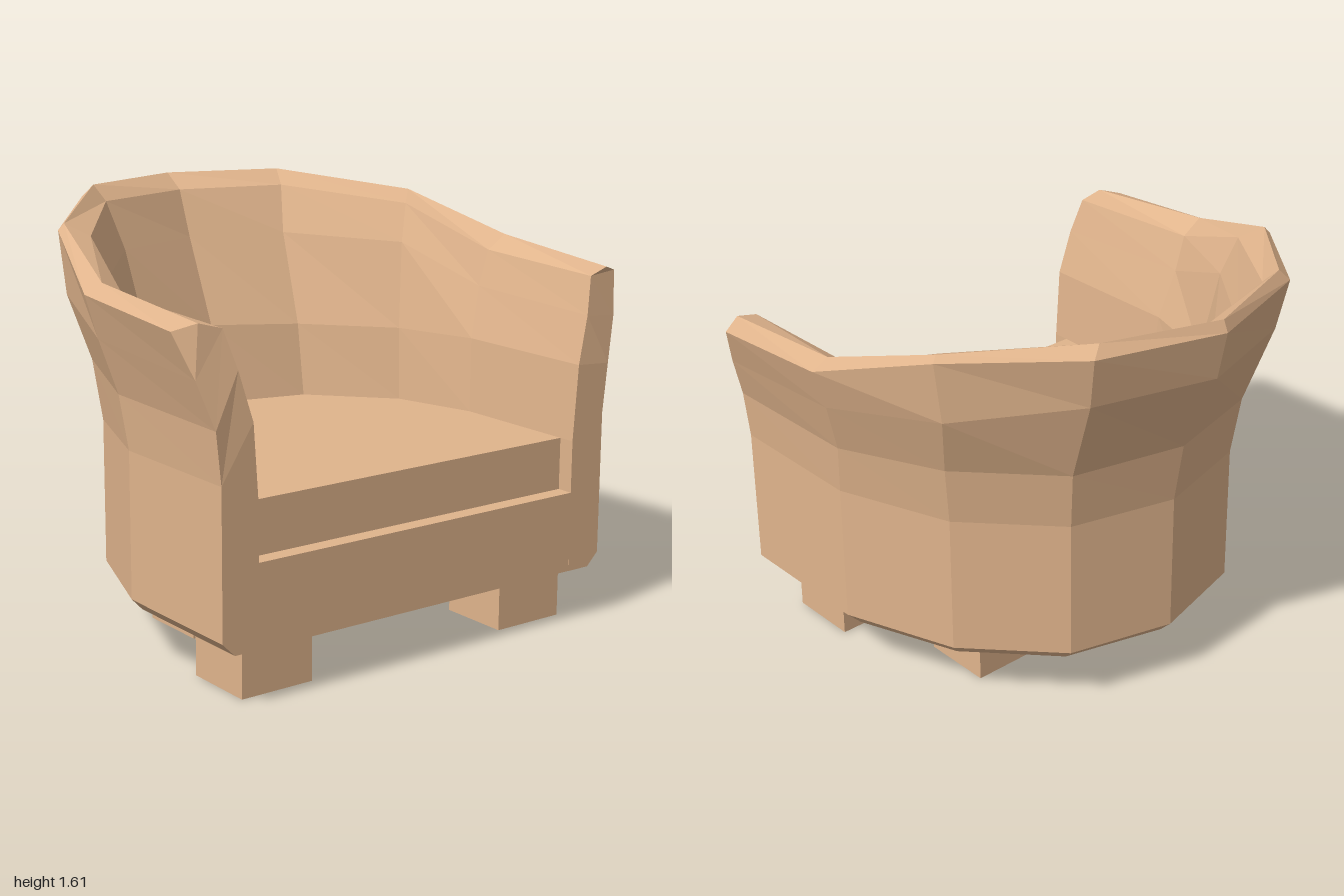
import * as THREE from 'three';

// Plan outlines [x, z], from the front of one arm to the middle of the back
const outerPlan = [[0.87, 0.835], [0.87, 0.26], [0.71, -0.18], [0.41, -0.5], [0, -0.61]];
const footPlan = [[0.82, 0.835], [0.82, 0.25], [0.67, -0.15], [0.39, -0.45], [0, -0.56]];
const innerPlan = [[0.72, 0.835], [0.72, 0.25], [0.63, -0.08], [0.36, -0.37], [0, -0.46]];

const level = (plan, y) => plan.map(([x, z]) => [x, y, z]);

// Rings [x, y, z] of the tub, up the outside, over the rim and down the inside
const rings = [
  level(footPlan, 0.2),
  level(outerPlan, 0.25),
  level(outerPlan, 0.8),
  // outward flare
  [[0.89, 0.99, 0.835], [0.89, 1.0, 0.23], [0.74, 1.03, -0.2], [0.43, 1.03, -0.53], [0, 1.04, -0.65]],
  [[0.945, 1.16, 0.8], [0.95, 1.2, 0.2], [0.8, 1.27, -0.27], [0.46, 1.36, -0.65], [0, 1.37, -0.8]],
  // rim: outer edge, crest, inner edge
  [[1, 1.32, 0.74], [1, 1.36, 0.2], [0.83, 1.51, -0.27], [0.48, 1.56, -0.69], [0, 1.56, -0.84]],
  [[0.92, 1.345, 0.78], [0.93, 1.395, 0.2], [0.81, 1.535, -0.26], [0.44, 1.605, -0.67], [0, 1.605, -0.82]],
  [[0.83, 1.32, 0.79], [0.845, 1.34, 0.2], [0.74, 1.49, -0.19], [0.42, 1.545, -0.61], [0, 1.545, -0.73]],
  // inside wall
  [[0.79, 1.18, 0.82], [0.8, 1.2, 0.2], [0.69, 1.34, -0.15], [0.38, 1.36, -0.54], [0, 1.36, -0.66]],
  [[0.74, 1.0, 0.835], [0.74, 1.0, 0.23], [0.64, 1.0, -0.1], [0.36, 1.0, -0.41], [0, 1.02, -0.51]],
  level(innerPlan, 0.71),
  level(innerPlan, 0.2),
];

// Completes a half ring: right arm, back, left arm
const mirrorRing = (half) => [
  ...half.map(([x, ...rest]) => [-x, ...rest]),
  ...half.slice(0, -1).reverse(),
];

function tubGeometry() {
  const full = rings.map(mirrorRing);
  const stations = full[0].length;
  const last = full.length - 1;
  const positions = [];
  const quad = (a, b, c, d) => positions.push(...a, ...b, ...c, ...a, ...c, ...d);

  for (let r = 0; r < last; r++) {
    for (let s = 0; s < stations - 1; s++) {
      quad(full[r][s], full[r + 1][s], full[r + 1][s + 1], full[r][s + 1]);
    }
  }
  // Front ends of both arms
  for (let i = 0; i < 5; i++) {
    const corners = (s) => [full[i][s], full[last - i][s], full[last - i - 1][s], full[i + 1][s]];
    quad(...corners(0));
    quad(...corners(stations - 1).reverse());
  }
  const geometry = new THREE.BufferGeometry();
  geometry.setAttribute('position', new THREE.Float32BufferAttribute(positions, 3));
  geometry.computeVertexNormals();
  return geometry;
}

// Upright slab over a plan outline, cut off at the given front z
function slabGeometry(plan, frontZ, bottom, top) {
  const half = plan.map(([x, z], i) => [x, i === 0 ? frontZ : z]);
  const shape = new THREE.Shape(mirrorRing(half).map(([x, z]) => new THREE.Vector2(x, -z)));
  const geometry = new THREE.ExtrudeGeometry(shape, { depth: top - bottom, bevelEnabled: false });
  geometry.rotateX(-Math.PI / 2);
  geometry.translate(0, bottom, 0);
  return geometry;
}

export function createModel() {
  const group = new THREE.Group();
  group.name = 'tubArmchair';
  const material = new THREE.MeshStandardMaterial({ color: 0xe0b48c, flatShading: true });

  const add = (name, geometry) => {
    const mesh = new THREE.Mesh(geometry, material);
    mesh.name = name;
    group.add(mesh);
    return mesh;
  };

  add('backAndArms', tubGeometry());
  add('seatBase', slabGeometry(footPlan, 0.834, 0.2, 0.25));
  add('seatFrame', slabGeometry(innerPlan, 0.835, 0.25, 0.51));
  add('seatCushion', slabGeometry(innerPlan, 0.77, 0.51, 0.71));

  // Square block legs, the front pair set wider
  for (const [name, x, z] of [['frontLeg', 0.59, 0.617], ['backLeg', 0.39, 0.015]]) {
    for (const side of [-1, 1]) {
      add(name, new THREE.BoxGeometry(0.3, 0.2, 0.285)).position.set(side * x, 0.1, z);
    }
  }
  return group;
}
